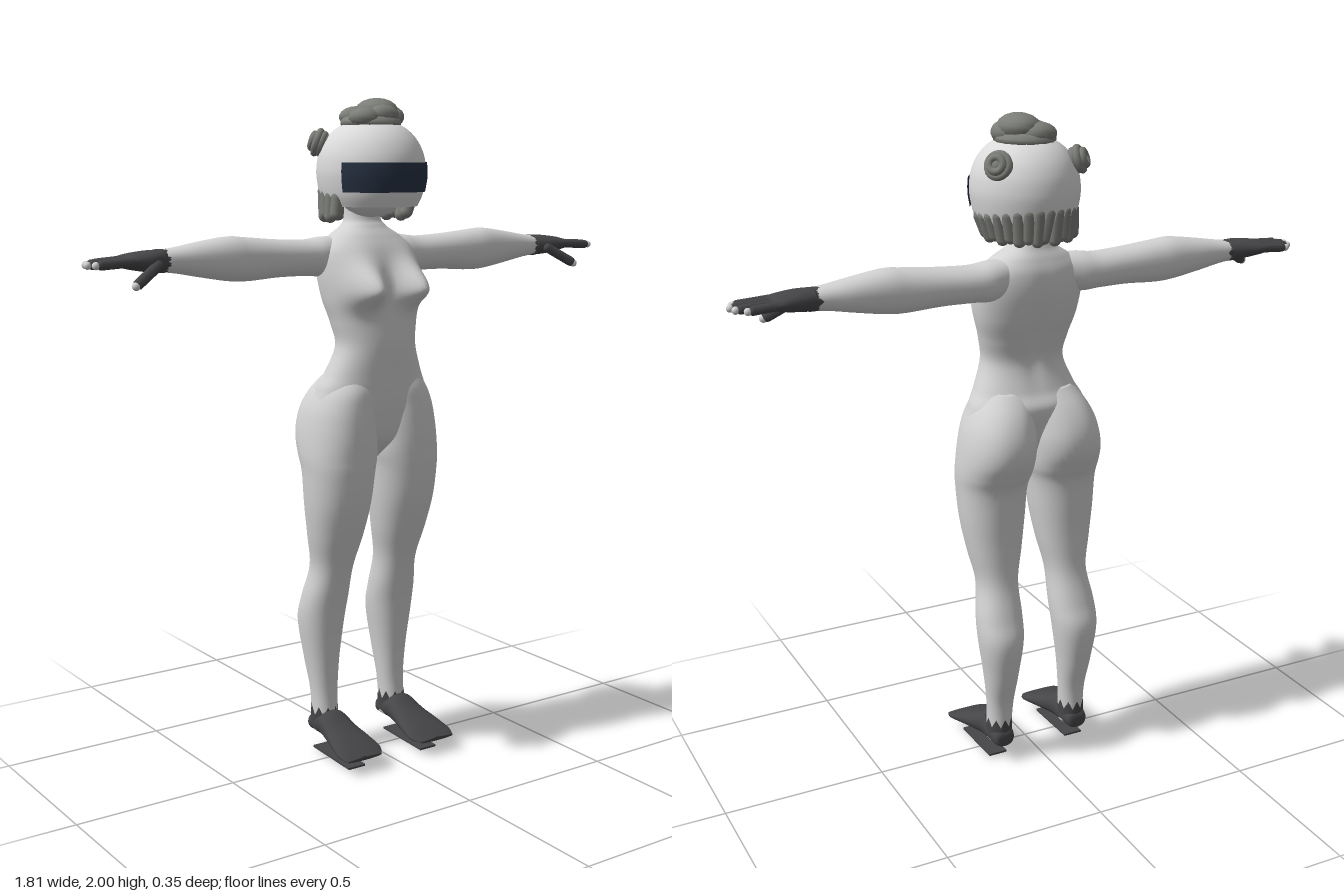
import * as THREE from 'three';

const mat = (name, color, extra = {}) => {
  const m = new THREE.MeshStandardMaterial({ color, ...extra });
  m.name = name;
  return m;
};

// Smooth interpolation through table rows; column 0 is the position along the axis
function sample(rows, s) {
  const f = s * (rows.length - 1), i = Math.min(Math.floor(f), rows.length - 2), t = f - i;
  const at = k => rows[Math.max(0, Math.min(rows.length - 1, k))];
  return rows[0].map((_, c) => {
    const [a, b, d, e] = [at(i - 1)[c], at(i)[c], at(i + 1)[c], at(i + 2)[c]];
    return b + 0.5 * t * (d - a + t * (2 * a - 5 * b + 4 * d - e + t * (3 * (b - d) + e - a)));
  });
}

// Rows [t, uMin, uMax, vMin, vMax] become a closed tube of oval sections
function loft(rows, place, rings = 60, sides = 32) {
  const pos = [], index = [];
  for (let i = 0; i <= rings; i++) {
    const [t, u0, u1, v0, v1] = sample(rows, i / rings);
    for (let j = 0; j < sides; j++) {
      const a = j / sides * Math.PI * 2, c = Math.cos(a), s = Math.sin(a);
      const u = (u0 + u1) / 2 + (u1 - u0) / 2 * Math.sign(c) * Math.abs(c) ** 0.9;
      const v = (v0 + v1) / 2 + (v1 - v0) / 2 * Math.sign(s) * Math.abs(s) ** 0.9;
      pos.push(...place(t, u, v));
      if (i < rings) {
        const k = (j + 1) % sides, p = i * sides, q = p + sides;
        index.push(p + j, q + j, p + k, q + j, q + k, p + k);
      }
    }
  }
  // End caps
  const last = rings * sides;
  for (let j = 1; j < sides - 1; j++) index.push(0, j, j + 1, last, last + j + 1, last + j);
  const g = new THREE.BufferGeometry();
  g.setAttribute('position', new THREE.Float32BufferAttribute(pos, 3));
  g.setIndex(index);
  g.computeVertexNormals();
  return g;
}
const alongY = (t, u, v) => [u, t, v];
const alongX = (t, u, v) => [t, v, u];
const alongZ = (t, u, v) => [v, u, t];

// Mirrored copy with corner order restored
function mirrored(geo) {
  const g = geo.clone().scale(-1, 1, 1), ix = g.index.array;
  for (let i = 0; i < ix.length; i += 3) [ix[i], ix[i + 1]] = [ix[i + 1], ix[i]];
  return g;
}

// Tapered rounded limb between two points
function rod(a, b, r) {
  const A = new THREE.Vector3(...a), B = new THREE.Vector3(...b), d = B.clone().sub(A);
  const g = new THREE.CapsuleGeometry(r, d.length(), 5, 10);
  const q = new THREE.Quaternion().setFromUnitVectors(new THREE.Vector3(0, 1, 0), d.normalize());
  return g.applyQuaternion(q).translate(...A.add(B).multiplyScalar(0.5).toArray());
}

// Open sleeve around the y axis whose top edge is cut in points
function raggedCuff(rx, rz, low, high) {
  const g = new THREE.CylinderGeometry(1, 1, 1, 18, 1, true), p = g.attributes.position;
  for (let i = 0; i < p.count; i++) {
    const top = p.getY(i) > 0;
    p.setXYZ(i, p.getX(i) * rx, top ? (i % 2 ? high : low) : 0, p.getZ(i) * rz);
  }
  g.computeVertexNormals();
  return g;
}

export function createModel() {
  const model = new THREE.Group();
  const body = mat('light grey suit', 0xd2d2d2);
  const shell = mat('helmet white', 0xdadada, { side: THREE.DoubleSide });
  const dark = mat('charcoal', 0x464649, { side: THREE.DoubleSide });
  const glass = mat('visor blue', 0x263142, { side: THREE.DoubleSide });
  const hair = mat('hair grey', 0x7c7e79);

  const add = (name, geo, m, parent = model) => {
    const mesh = new THREE.Mesh(geo, m);
    mesh.name = name;
    parent.add(mesh);
    return mesh;
  };
  const pair = (name, geo, m) => {
    add('left ' + name, geo, m);
    add('right ' + name, mirrored(geo), m);
  };

  // Torso and neck: height, half width, front, back
  const torso = loft([
    [0.94, 0.02, 0.03, -0.03], [1.0, 0.12, 0.08, -0.07], [1.08, 0.192, 0.098, -0.1],
    [1.15, 0.182, 0.105, -0.115], [1.2, 0.157, 0.108, -0.09], [1.28, 0.128, 0.113, -0.068],
    [1.35, 0.138, 0.108, -0.085], [1.42, 0.155, 0.098, -0.11], [1.5, 0.163, 0.085, -0.128],
    [1.56, 0.155, 0.065, -0.128], [1.6, 0.115, 0.04, -0.115], [1.63, 0.07, 0.015, -0.1],
    [1.66, 0.055, 0, -0.095], [1.75, 0.055, 0, -0.095],
  ].map(([y, w, f, b]) => [y, -w, w, b, f]), alongY, 110, 72);
  // Chest swells forward, the spine forms a shallow groove
  const p = torso.attributes.position;
  for (let i = 0; i < p.count; i++) {
    const x = p.getX(i), y = p.getY(i), z = p.getZ(i);
    const dy = (y - 1.45) / (y < 1.45 ? 0.047 : 0.07), dx = (Math.abs(x) - 0.083) / 0.052;
    const front = THREE.MathUtils.smoothstep(z, -0.03, 0.05);
    const back = THREE.MathUtils.smoothstep(-z, 0.03, 0.07);
    const groove = Math.exp(-((x / 0.025) ** 2) - ((y - 1.38) / 0.13) ** 2);
    p.setZ(i, z + 0.092 * front * Math.exp(-dx * dx - dy * dy) + 0.012 * back * groove);
  }
  torso.computeVertexNormals();
  add('torso', torso, body);

  // Legs: height, inner, outer, back, front
  pair('leg', loft([
    [0.07, 0.09, 0.165, -0.113, -0.03], [0.12, 0.09, 0.165, -0.115, -0.03],
    [0.2, 0.085, 0.168, -0.12, -0.035], [0.3, 0.075, 0.18, -0.145, -0.03],
    [0.42, 0.06, 0.196, -0.163, -0.015], [0.5, 0.055, 0.195, -0.14, 0],
    [0.6, 0.055, 0.182, -0.11, 0.025], [0.7, 0.035, 0.2, -0.105, 0.06],
    [0.8, 0.02, 0.215, -0.108, 0.09], [0.9, 0.01, 0.222, -0.115, 0.105],
    [0.95, 0, 0.225, -0.137, 0.108], [1.0, -0.002, 0.222, -0.16, 0.11],
    [1.05, -0.003, 0.215, -0.165, 0.109], [1.1, 0, 0.202, -0.153, 0.106],
    [1.15, 0, 0.178, -0.125, 0.1], [1.2, 0, 0.14, -0.08, 0.08],
  ], alongY, 90, 40), body);

  // Arms: reach, back, front, bottom, top
  pair('arm', loft([
    [0.07, -0.1, -0.01, 1.51, 1.6], [0.14, -0.118, 0.005, 1.485, 1.6],
    [0.2, -0.12, 0.006, 1.487, 1.593], [0.3, -0.116, 0.008, 1.487, 1.597],
    [0.4, -0.114, 0.01, 1.481, 1.606], [0.46, -0.113, 0.009, 1.484, 1.61],
    [0.55, -0.106, 0, 1.499, 1.598], [0.62, -0.097, -0.009, 1.512, 1.586],
    [0.68, -0.091, -0.015, 1.52, 1.578],
  ], alongX, 50, 28), body);

  // Gloves: palm, cuff, fingers with pale tips, thumb
  pair('palm', loft([
    [0.665, -0.093, -0.012, 1.517, 1.581], [0.71, -0.1, 0, 1.52, 1.58],
    [0.76, -0.108, 0.002, 1.528, 1.574], [0.79, -0.106, 0, 1.535, 1.567],
  ], alongX, 20, 24), dark);
  pair('glove cuff', raggedCuff(0.033, 0.041, 0.018, 0.04)
    .rotateZ(Math.PI / 2).translate(0.682, 1.549, -0.053), dark);
  [[-0.012, 0.875], [-0.038, 0.887], [-0.066, 0.88], [-0.093, 0.855]].forEach(([z, x], i) => {
    pair('finger ' + (i + 1), rod([0.77, 1.552, z], [x - 0.01, 1.547, z], 0.0135), dark);
    pair('fingertip ' + (i + 1), new THREE.SphereGeometry(0.011, 12, 8).translate(x + 0.005, 1.546, z), body);
  });
  pair('thumb', rod([0.7, 1.54, -0.005], [0.773, 1.496, 0.023], 0.0155), dark);
  pair('thumb tip', new THREE.SphereGeometry(0.012, 12, 8).translate(0.783, 1.49, 0.027), body);

  // Shoes: length, bottom, top, inner, outer
  pair('shoe', loft([
    [-0.122, 0.062, 0.08, 0.115, 0.145], [-0.112, 0.055, 0.11, 0.095, 0.163],
    [-0.05, 0.055, 0.13, 0.085, 0.172], [-0.02, 0.053, 0.138, 0.08, 0.178],
    [0.03, 0.048, 0.113, 0.072, 0.188], [0.08, 0.044, 0.092, 0.062, 0.2],
    [0.13, 0.04, 0.07, 0.057, 0.208], [0.165, 0.042, 0.052, 0.075, 0.198],
  ], alongZ, 36, 28), dark);
  pair('shoe cuff', raggedCuff(0.041, 0.046, 0.04, 0.068).translate(0.128, 0.08, -0.072), dark);
  pair('sole plate', new THREE.BoxGeometry(0.06, 0.006, 0.2)
    .rotateX(0.04).translate(0.135, 0.0075, 0.02), dark);

  // Helmet, visor and the head inside
  const profile = [[0.133, 1.688], [0.147, 1.72], [0.156, 1.765], [0.157, 1.8], [0.15, 1.84],
    [0.131, 1.88], [0.1, 1.912], [0.055, 1.934], [0, 1.942]].map(a => new THREE.Vector2(...a));
  const curve = new THREE.SplineCurve(profile);
  add('helmet', new THREE.LatheGeometry(curve.getPoints(40), 56).scale(1, 1, 1.08), shell);
  const band = [[0.155, 1.73], [0.161, 1.765], [0.162, 1.79], [0.16, 1.815]].map(a => new THREE.Vector2(...a));
  add('visor', new THREE.LatheGeometry(band, 36, -1.18, 2.36).scale(1, 1, 1.08), glass);
  add('head', new THREE.SphereGeometry(0.12, 24, 16).translate(0, 1.775, 0), body);
  add('inner hair', new THREE.SphereGeometry(0.125, 24, 16).scale(1, 0.9, 1).translate(0, 1.782, -0.02), hair);

  // Curled locks under the back rim
  const locks = new THREE.Group();
  locks.name = 'hair locks';
  model.add(locks);
  for (let i = -8; i <= 8; i++) {
    const a = i * 0.215, s = Math.sin(a), c = Math.cos(a), w = 0.02 * Math.cos(a + 1.2 * Math.sign(i));
    const low = 1.668 - 0.008 * (i & 1), top = 1.715 + 0.025 * Math.max(0, c);
    add('lock', rod([s * 0.134, top, -c * 0.15], [s * 0.127 + w * 0.6, low, -c * 0.14], 0.019), hair, locks);
  }

  // Top knot of overlapping lumps
  const knot = new THREE.Group();
  knot.name = 'top knot';
  model.add(knot);
  [[0, 1.928, 0, 0.09, 0.032, 0.095], [0.02, 1.962, 0, 0.062, 0.038, 0.07],
    [-0.045, 1.942, 0.03, 0.045, 0.03, 0.05], [0.055, 1.945, 0.02, 0.036, 0.032, 0.05],
    [-0.02, 1.945, -0.045, 0.055, 0.032, 0.045], [0.01, 1.95, 0.05, 0.05, 0.03, 0.036],
  ].forEach(([x, y, z, a, b, c]) =>
    add('knot lump', new THREE.SphereGeometry(1, 14, 9).scale(a, b, c).translate(x, y, z), hair, knot));

  // Side buns wound from rings
  const bun = (name, side) => {
    const g = new THREE.Group();
    g.name = name;
    add('bun core', new THREE.SphereGeometry(0.034, 16, 12), hair, g);
    [[0.028, 0], [0.032, 0.014], [0.02, 0.028]].forEach(([r, h]) =>
      add('bun coil', new THREE.TorusGeometry(r, 0.011, 8, 20).translate(0, 0, h), hair, g));
    g.position.set(side * 0.118, 1.868, -0.082);
    g.lookAt(side * 0.26, 1.93, -0.2);
    model.add(g);
  };
  bun('left bun', 1);
  bun('right bun', -1);
  return model;
}
